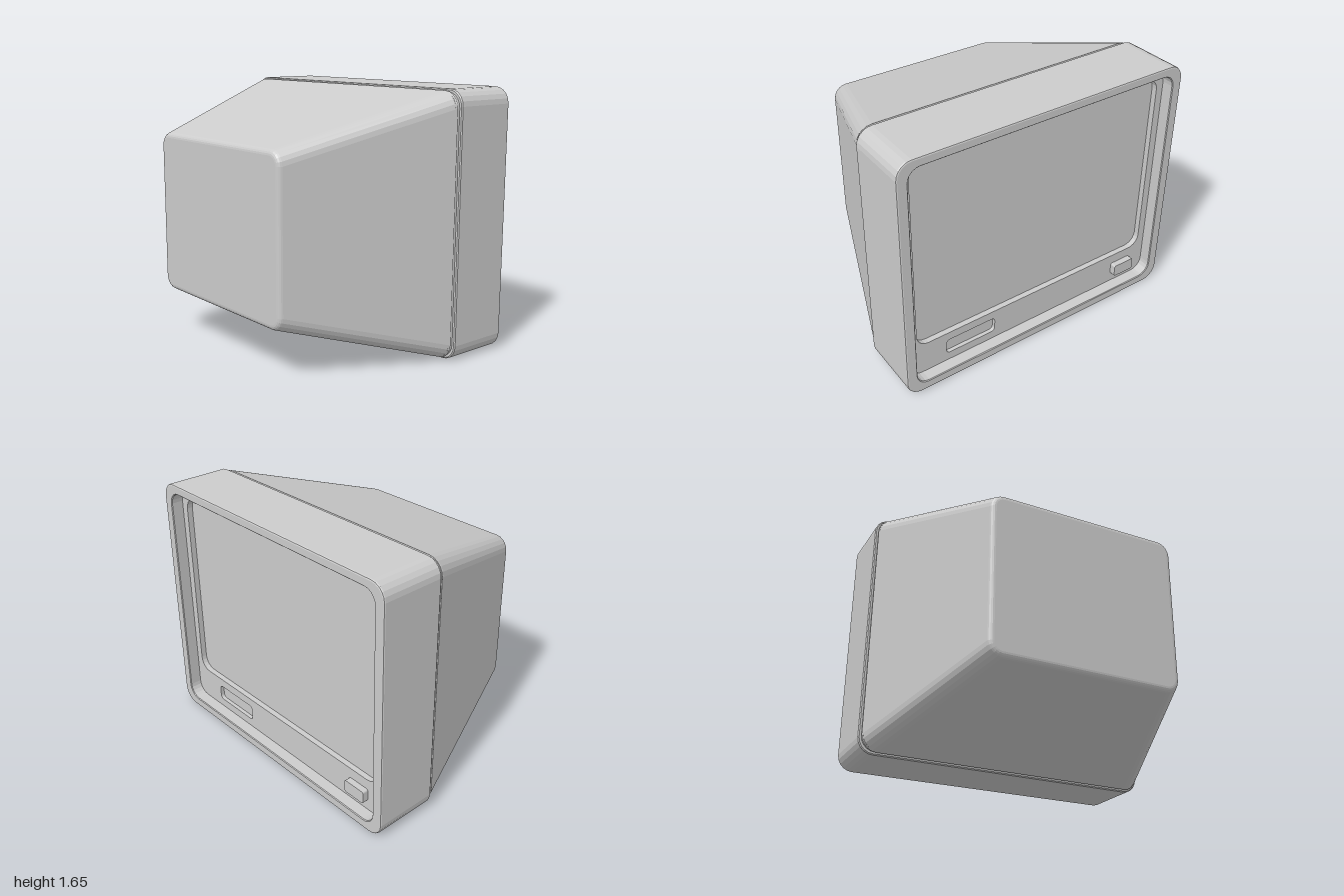
import * as THREE from 'three';

const CORNER_STEPS = 5;
const casing = new THREE.MeshStandardMaterial({ color: 0xcccccc, flatShading: true });

// Outline of a rounded rectangle, counter-clockwise
function outline(u0, u1, v0, v1, r) {
  const corners = [[u1 - r, v0 + r], [u1 - r, v1 - r], [u0 + r, v1 - r], [u0 + r, v0 + r]];
  return corners.flatMap(([u, v], c) =>
    Array.from({ length: CORNER_STEPS + 1 }, (_, i) => {
      const a = (c - 1 + i / CORNER_STEPS) * Math.PI / 2;
      return new THREE.Vector2(u + r * Math.cos(a), v + r * Math.sin(a));
    }));
}

// Skin over rounded-rectangle rings [depth, halfWidth, bottom, top, radius]
function loft(rings, capStart, capEnd) {
  const pos = [], index = [];
  const n = 4 * (CORNER_STEPS + 1);
  for (const [d, w, v0, v1, r] of rings)
    for (const p of outline(-w, w, v0, v1, r)) pos.push(p.x, p.y, d);
  for (let k = 0; k < rings.length - 1; k++)
    for (let i = 0; i < n; i++) {
      const j = (i + 1) % n, a = k * n + i, b = k * n + j;
      index.push(a, b, b + n, a, b + n, a + n);
    }
  const cap = (k, flip) => {
    const [d, , v0, v1] = rings[k], centre = pos.length / 3;
    pos.push(0, (v0 + v1) / 2, d);
    for (let i = 0; i < n; i++) {
      const a = k * n + i, b = k * n + (i + 1) % n;
      index.push(flip ? b : a, flip ? a : b, centre);
    }
  };
  if (capStart) cap(0, true);
  if (capEnd) cap(rings.length - 1, false);
  const geo = new THREE.BufferGeometry();
  geo.setAttribute('position', new THREE.Float32BufferAttribute(pos, 3));
  geo.setIndex(index);
  geo.computeVertexNormals();
  return geo;
}

// Extruded plate from an outline with optional holes
function plate(points, depth, holes = []) {
  const shape = new THREE.Shape(points);
  shape.holes = holes.map(h => new THREE.Path(h));
  return new THREE.ExtrudeGeometry(shape, { depth, bevelEnabled: false });
}

export function createModel() {
  const model = new THREE.Group();
  const monitor = new THREE.Group();
  monitor.name = 'monitor';
  monitor.rotation.y = Math.PI / 2; // screen looks along +x
  model.add(monitor);

  const add = (name, geometry, z = 0) => {
    const mesh = new THREE.Mesh(geometry, casing);
    mesh.name = name;
    mesh.position.z = z;
    monitor.add(mesh);
    return mesh;
  };

  // Tapered rear housing with a rounded back edge
  const rear = [];
  for (let i = 0; i <= 4; i++) {
    const a = i / 4 * Math.PI / 2 * 0.8, f = 0.035;
    const inset = f * (1 - Math.sin(a));
    rear.push([-0.735 + f * (1 - Math.cos(a)), 0.635 - inset, 0.305 + inset, 1.348 - inset, 0.09 - inset]);
  }
  rear.push([0.293, 0.985, 0.01, 1.643, 0.1], [0.295, 0.975, 0.02, 1.633, 0.09]);
  add('rearHousing', loft(rear, true, true));

  // Narrow groove between the two housings
  add('seam', loft([[0.28, 0.98, 0.018, 1.635, 0.09], [0.33, 0.98, 0.018, 1.635, 0.09]], true, true));

  // Front housing with a softened rim turning into the recess
  add('frontHousing', loft([
    [0.314, 0.96, 0.04, 1.613, 0.06],
    [0.314, 0.993, 0.007, 1.646, 0.093],
    [0.32, 1, 0, 1.653, 0.1],
    [0.724, 1, 0, 1.653, 0.1],
    [0.731, 0.997, 0.003, 1.65, 0.097],
    [0.734, 0.99, 0.01, 1.643, 0.09],
    [0.734, 0.935, 0.057, 1.6, 0.085],
    [0.729, 0.93, 0.062, 1.595, 0.08],
    [0.64, 0.93, 0.062, 1.595, 0.08],
  ], true, false));

  // Recessed bezel with openings for the screen and the slot
  const screenHole = outline(-0.88, 0.88, 0.28, 1.555, 0.08);
  const slotHole = outline(-0.675, -0.315, 0.118, 0.222, 0.025);
  add('bezel', plate(outline(-0.93, 0.93, 0.062, 1.595, 0.08), 0.06, [screenHole, slotHole]), 0.594);

  // Screen and slot floor
  add('screen', plate(outline(-0.89, 0.89, 0.27, 1.565, 0.08), 0.02), 0.597);
  add('slotFloor', plate(outline(-0.69, -0.3, 0.1, 0.235, 0.02), 0.02), 0.608);

  // Power button
  add('powerButton', plate(outline(0.65, 0.81, 0.128, 0.212, 0.012), 0.045), 0.65);

  return model;
}
